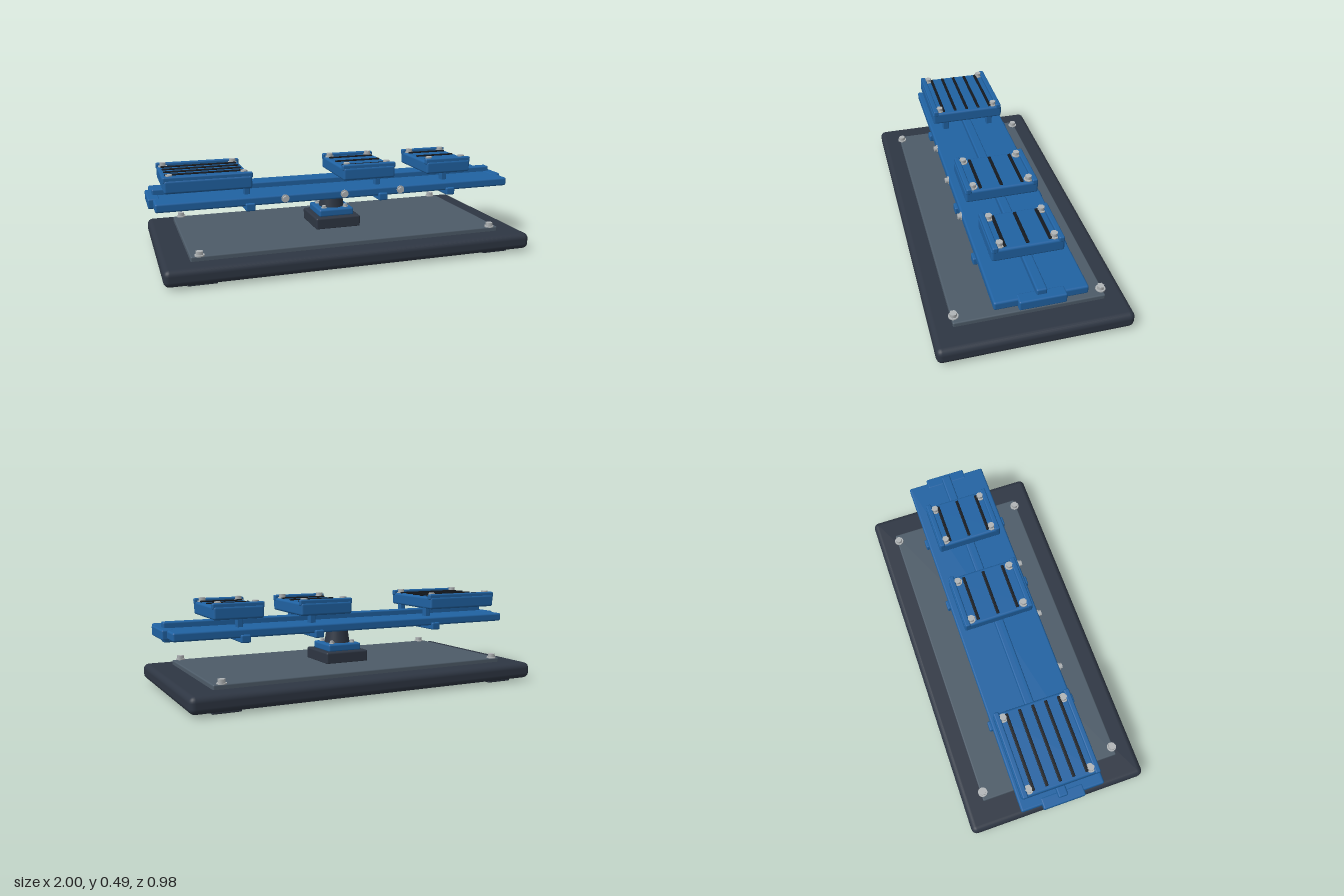
import * as THREE from 'three';
import { RoundedBoxGeometry } from 'three/addons/geometries/RoundedBoxGeometry.js';

const material = (name, color) => {
  const m = new THREE.MeshStandardMaterial({ color });
  m.name = name;
  return m;
};

export function createModel() {
  const blue = material('blue paint', 0x2062a2);
  const charcoal = material('charcoal', 0x2e3643);
  const slate = material('slate plate', 0x4d5b68);
  const steel = material('steel', 0xb0b4b6);
  const black = material('black rubber', 0x14181e);

  const model = new THREE.Group();
  model.name = 'benchRig';

  // Rounded box given by its limits on each axis
  function box(name, mat, [x0, x1], [y0, y1], [z0, z1], r = 0.008, parent = model) {
    const geo = new RoundedBoxGeometry(x1 - x0, y1 - y0, z1 - z0, 3, r);
    const mesh = new THREE.Mesh(geo, mat);
    mesh.name = name;
    mesh.position.set((x0 + x1) / 2, (y0 + y1) / 2, (z0 + z1) / 2);
    parent.add(mesh);
    return mesh;
  }

  // Hex bolt with a washer, standing on its origin
  function bolt(name, x, y, z, size = 1, parent = model) {
    const group = new THREE.Group();
    group.name = name;
    const washer = new THREE.Mesh(new THREE.CylinderGeometry(0.025, 0.025, 0.006, 20), steel);
    washer.name = 'washer';
    washer.position.y = 0.003;
    const head = new THREE.Mesh(new THREE.CylinderGeometry(0.019, 0.019, 0.018, 6), steel);
    head.name = 'hexHead';
    head.position.y = 0.015;
    group.add(washer, head);
    group.scale.setScalar(size);
    group.position.set(x, y, z);
    parent.add(group);
    return group;
  }

  // Base slab, top plate, feet and corner bolts
  box('base', charcoal, [-0.975, 0.975], [0.014, 0.1], [-0.488, 0.488], 0.03);
  box('basePlate', slate, [-0.835, 0.835], [0.09, 0.124], [-0.381, 0.381], 0.007);
  for (const sx of [-1, 1]) {
    for (const sz of [-1, 1]) {
      const x = sx * 0.79;
      const z = sz * 0.37;
      box('foot', charcoal, [x - 0.073, x + 0.073], [0, 0.03], [z - 0.075, z + 0.075], 0.006);
      bolt('baseBolt', x, 0.124, z);
    }
  }

  // Pedestal: block, collar, tapered neck
  box('pedestalBlock', charcoal, [-0.126, 0.126], [0.118, 0.184], [-0.129, 0.129], 0.01);
  box('pedestalCollar', blue, [-0.098, 0.098], [0.18, 0.222], [-0.098, 0.098], 0.01);
  const neck = new THREE.Mesh(new THREE.CylinderGeometry(0.056, 0.07, 0.094, 32), charcoal);
  neck.name = 'neck';
  neck.position.y = 0.267;
  model.add(neck);
  for (const sx of [-1, 1]) {
    for (const sz of [-1, 1]) bolt('collarBolt', sx * 0.062, 0.222, sz * 0.06, 0.6);
  }

  // Long deck with a central spine and end caps
  box('deck', blue, [-0.975, 0.975], [0.31, 0.355], [-0.222, 0.222], 0.01);
  box('spine', blue, [-0.972, 0.972], [0.283, 0.385], [-0.025, 0.025], 0.008);
  for (const s of [-1, 1]) {
    const cap = box('endCap', blue, [-0.03, 0.03], [0.306, 0.357], [-0.112, 0.112], 0.008);
    cap.position.x = s * 0.97;
  }

  // Cross bars under the deck and posts above it
  for (const x of [-0.505, 0.217, 0.617]) {
    box('crossBar', blue, [x - 0.025, x + 0.025], [0.286, 0.326], [-0.237, 0.237], 0.007);
    for (const s of [-1, 1]) {
      box('post', blue, [x - 0.016, x + 0.016], [0.34, 0.41],
        [s * 0.132 - 0.018, s * 0.132 + 0.018], 0.005);
    }
  }

  // Bolts along the front edge of the deck
  for (const x of [-0.322, 0, 0.32]) {
    bolt('edgeBolt', x, 0.336, 0.22, 0.85).rotation.x = Math.PI / 2;
  }

  // Raised platforms with side lips, grip strips and corner bolts
  const platforms = [
    { x: [-0.93, -0.482], half: 0.207, strips: [-0.14, -0.07, 0, 0.07, 0.14] },
    { x: [0.003, 0.305], half: 0.192, strips: [-0.11, 0, 0.11] },
    { x: [0.493, 0.765], half: 0.177, strips: [-0.11, 0, 0.11] },
  ];
  for (const { x: [x0, x1], half, strips } of platforms) {
    const group = new THREE.Group();
    group.name = 'platform';
    model.add(group);
    box('platformBody', blue, [x0 + 0.004, x1 - 0.004], [0.397, 0.464], [-half, half], 0.012, group);
    for (const s of [-1, 1]) {
      const lip = box('sideLip', blue, [x0, x1], [0.45, 0.481], [-0.014, 0.014], 0.007, group);
      lip.position.z = s * (half - 0.018);
      for (const bx of [x0 + 0.035, x1 - 0.038]) {
        bolt('platformBolt', bx, 0.464, s * (half - 0.045), 0.95, group);
      }
    }
    for (const z of strips) {
      box('gripStrip', black, [x0 + 0.022, x1 - 0.022], [0.458, 0.471], [z - 0.008, z + 0.008], 0.003, group);
    }
  }

  return model;
}
